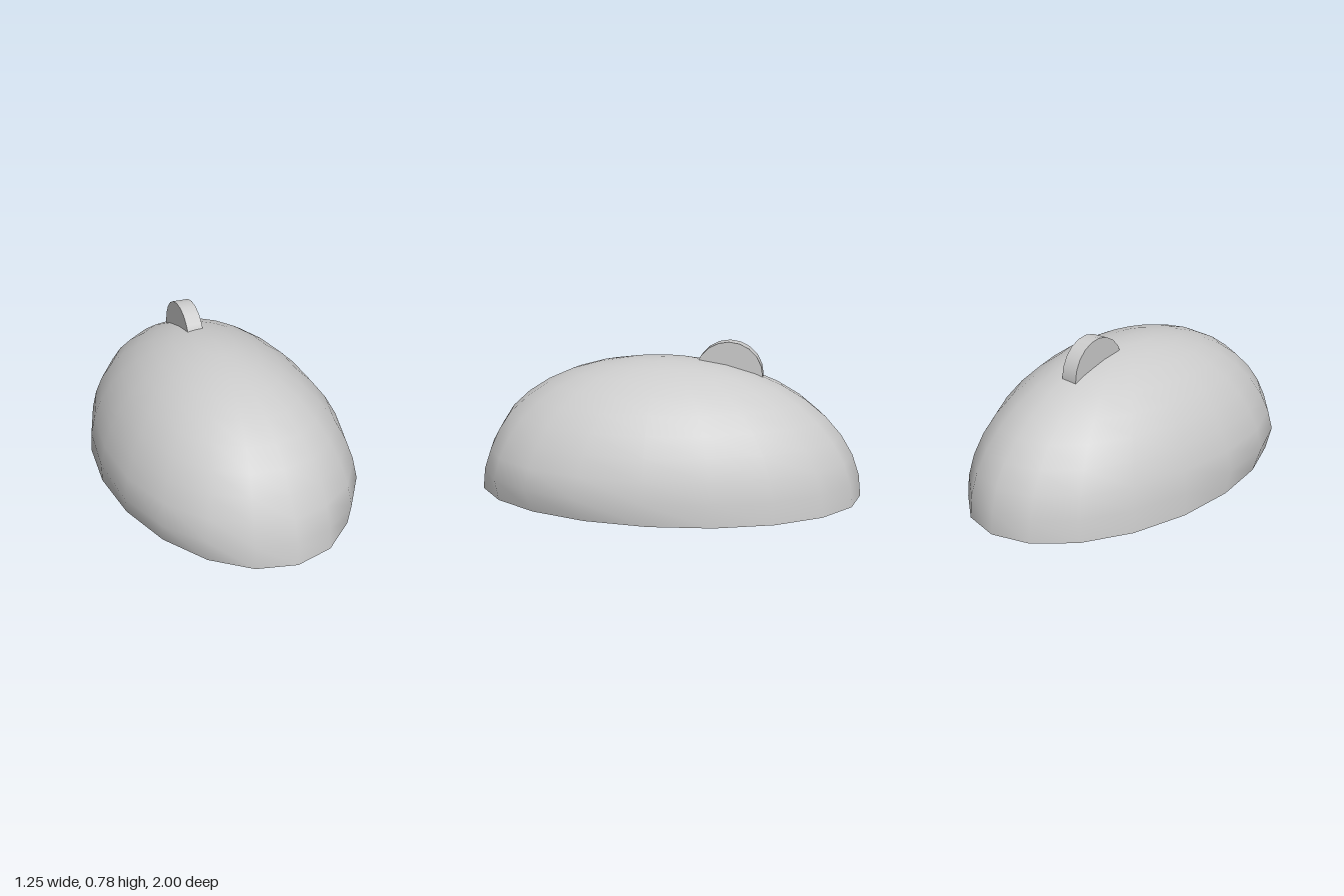
import * as THREE from 'three';
import { mergeVertices } from 'three/addons/utils/BufferGeometryUtils.js';

const SEGMENTS = 20;
const WIDTH = 0.62, HEIGHT = 0.695, LENGTH = 1;

// Half ellipsoid, swollen slightly toward the front above the base rim
function shellGeometry() {
  const sphere = new THREE.SphereGeometry(1, SEGMENTS, SEGMENTS / 2, 0, Math.PI * 2, 0, Math.PI / 2);
  sphere.deleteAttribute('uv');
  sphere.deleteAttribute('normal');
  const geometry = mergeVertices(sphere);
  const p = geometry.attributes.position;
  for (let i = 0; i < p.count; i++) {
    const x = p.getX(i), y = p.getY(i), z = p.getZ(i);
    const fade = THREE.MathUtils.clamp((0.9 - z) / 0.1, 0, 1);
    const push = y < 1e-4 ? 0 : 0.05 * fade * Math.exp(-(((z - 0.4) / 0.5) ** 2));
    p.setXYZ(i, x * WIDTH * (1 + 0.9 * push), y * HEIGHT, z * LENGTH + push);
  }
  geometry.computeVertexNormals();
  return geometry;
}

export function createModel() {
  const group = new THREE.Group();
  const material = new THREE.MeshStandardMaterial({ color: 0xcccccc });
  const add = (name, geometry) => {
    const mesh = new THREE.Mesh(geometry, material);
    mesh.name = name;
    group.add(mesh);
    return mesh;
  };

  add('shell', shellGeometry());

  // Flat underside, facing down
  const base = new THREE.CircleGeometry(1, SEGMENTS);
  base.rotateX(Math.PI / 2).scale(WIDTH, 1, LENGTH);
  add('base', base);

  // Scroll wheel sunk into the shell, slightly off centre
  const wheel = new THREE.CylinderGeometry(0.174, 0.174, 0.084, SEGMENTS);
  wheel.rotateZ(Math.PI / 2);
  add('scrollWheel', wheel).position.set(-0.033, 0.604, -0.313);

  return group;
}
